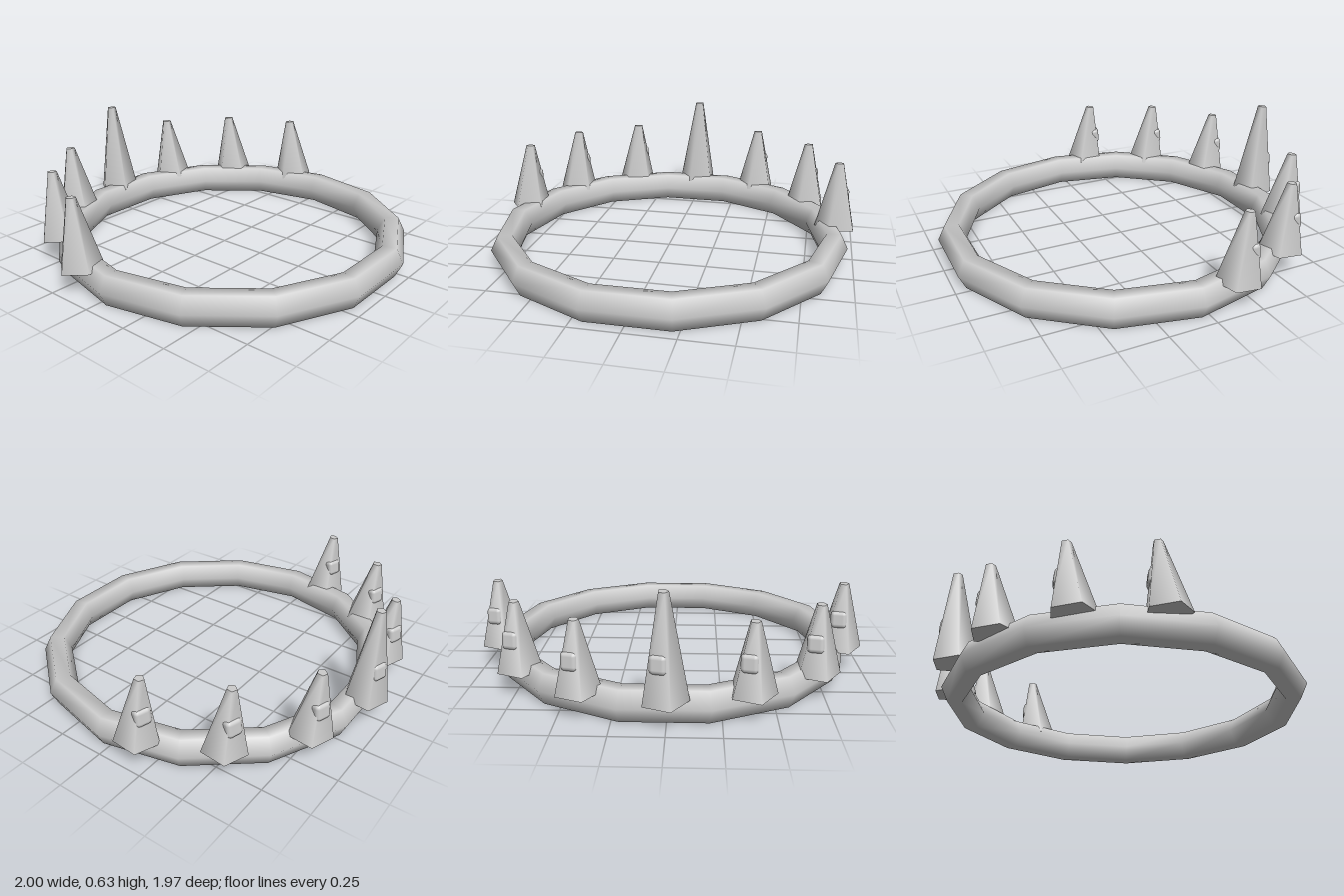
import * as THREE from 'three';
import { RoundedBoxGeometry } from 'three/addons/geometries/RoundedBoxGeometry.js';

const BASE_Y = 0.12;

// Five-sided tapering spike, leaning slightly back, with a sloped base
function spikeGeometry(height, lean) {
  const g = new THREE.CylinderGeometry(0.025, 0.115, height, 5, 1, false, THREE.MathUtils.degToRad(-91));
  g.translate(0, height / 2, 0);
  const p = g.attributes.position;
  for (let i = 0; i < p.count; i++) {
    const t = p.getY(i) / height;
    p.setY(i, p.getY(i) + 0.09 * p.getZ(i));
    p.setZ(i, p.getZ(i) + lean * t);
  }
  return g;
}

export function createModel() {
  const model = new THREE.Group();
  model.name = 'spikedBand';
  const grey = new THREE.MeshStandardMaterial({ color: 0xcccccc });
  grey.name = 'light grey';

  // Band: fourteen-sided hoop with a hexagonal section
  const bandGeo = new THREE.TorusGeometry(0.885, 0.075, 6, 14);
  bandGeo.rotateX(Math.PI / 2);
  bandGeo.scale(1, 1.19, 1);
  const band = new THREE.Mesh(bandGeo, grey);
  band.name = 'band';
  band.position.set(0.01, 0.0775, 0.04);
  model.add(band);

  const smallSpike = spikeGeometry(0.353, -0.04);
  const tallSpike = spikeGeometry(0.505, -0.03);
  const knobGeo = new RoundedBoxGeometry(0.085, 0.09, 0.06, 2, 0.022);

  // Spike with a rounded knob on its rear face
  function addSpike(name, x, z, tall) {
    const spike = new THREE.Group();
    spike.name = name;
    spike.position.set(x, BASE_Y, z);
    const cone = new THREE.Mesh(tall ? tallSpike : smallSpike, grey);
    cone.name = 'cone';
    const knob = new THREE.Mesh(knobGeo, grey);
    knob.name = 'knob';
    knob.position.set(0.018, tall ? 0.19 : 0.165, -0.055);
    knob.rotation.set(0.1, -0.33, 0);
    spike.add(cone, knob);
    model.add(spike);
  }

  addSpike('centreSpike', 0.01, -0.88, true);
  [[0.395, -0.79], [0.72, -0.533], [0.895, -0.163]].forEach(([x, z], i) => {
    addSpike(`leftSpike${i + 1}`, 0.01 + x, z, false);
    addSpike(`rightSpike${i + 1}`, 0.01 - x, z, false);
  });

  return model;
}
